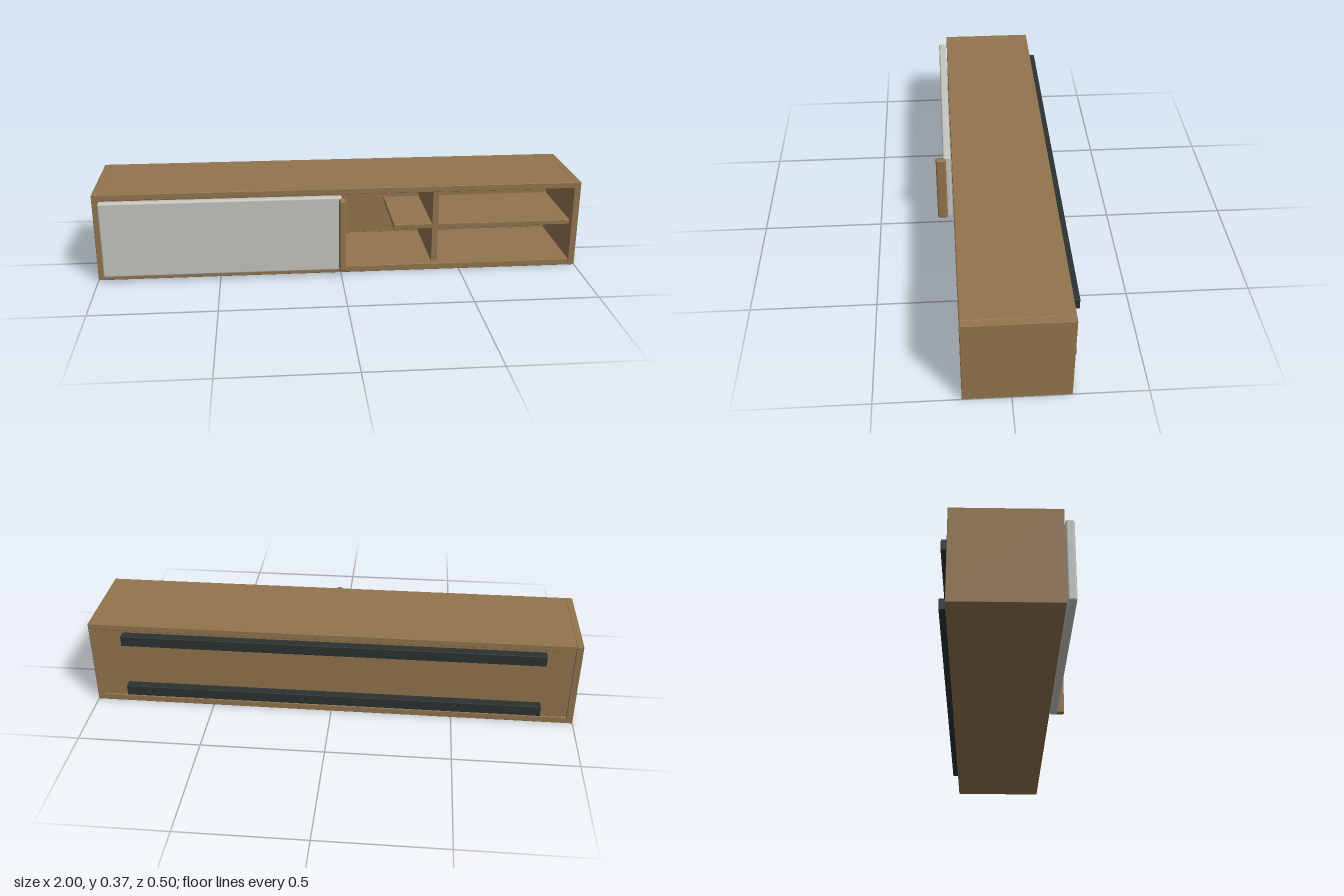
import * as THREE from 'three';
import { RoundedBoxGeometry } from 'three/addons/geometries/RoundedBoxGeometry.js';

const paint = (name, color) => {
  const m = new THREE.MeshStandardMaterial({ color });
  m.name = name;
  return m;
};

export function createModel() {
  const group = new THREE.Group();
  group.name = 'wallCabinet';
  const wood = paint('oak wood', 0x93754e);
  const lacquer = paint('pale grey lacquer', 0xc6c6c0);
  const metal = paint('dark metal', 0x2b3232);

  // A softly edged board between two corners
  const board = (name, material, [x0, x1], [y0, y1], [z0, z1], radius = 0.002) => {
    const geometry = new RoundedBoxGeometry(x1 - x0, y1 - y0, z1 - z0, 2, radius);
    const mesh = new THREE.Mesh(geometry, material);
    mesh.name = name;
    mesh.position.set((x0 + x1) / 2, (y0 + y1) / 2, (z0 + z1) / 2);
    group.add(mesh);
  };

  // Carcass
  const depth = [-0.22, 0.18];
  board('rightSide', wood, [-1, -0.973], [0, 0.371], depth);
  board('leftSide', wood, [0.973, 1], [0, 0.371], depth);
  board('topPanel', wood, [-0.973, 0.973], [0.346, 0.371], depth);
  board('bottomPanel', wood, [-0.973, 0.973], [0, 0.027], depth);
  board('backPanel', wood, [-0.973, 0.973], [0.026, 0.347], [-0.212, -0.195]);

  // Open compartment: upright divider with a shelf running past it
  board('divider', wood, [0.385, 0.411], [0.027, 0.346], [-0.195, 0.155]);
  board('shelf', wood, [0.225, 0.973], [0.176, 0.196], [-0.195, 0.153]);

  // Sliding door with its upright grip
  board('slidingDoor', lacquer, [-0.973, 0.002], [0.027, 0.348], [0.185, 0.218], 0.008);
  board('doorGrip', wood, [-0.01, 0.016], [0.033, 0.342], [0.205, 0.248], 0.007);

  // Wall mounting rails
  for (const y of [0.049, 0.29]) {
    board('mountingRail', metal, [-0.86, 0.86], [y, y + 0.044], [-0.248, -0.211]);
  }
  return group;
}
